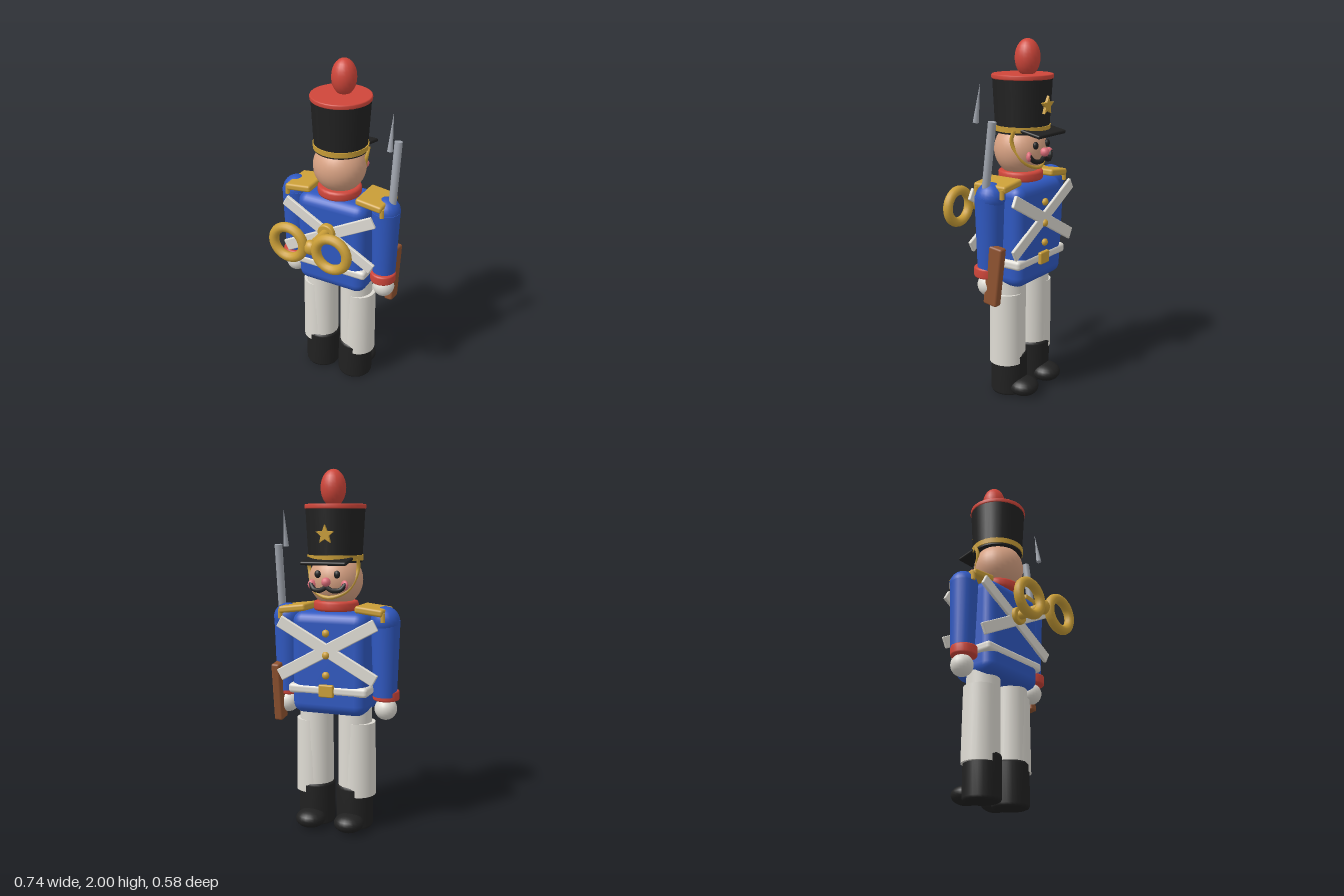
import * as THREE from 'three';
import { RoundedBoxGeometry } from 'three/addons/geometries/RoundedBoxGeometry.js';

const mat = (name, color, side = THREE.FrontSide) => {
  const m = new THREE.MeshStandardMaterial({ color, side });
  m.name = name;
  return m;
};

export function createModel() {
  const g = new THREE.Group();
  g.name = 'toySoldier';
  const blue = mat('coatBlue', 0x2f58c0), red = mat('trimRed', 0xcf463a), gold = mat('brassGold', 0xcb9f38),
    white = mat('clothWhite', 0xdedbd3), black = mat('leatherBlack', 0x212121), skin = mat('skin', 0xd8a283),
    steel = mat('steelGrey', 0x9fa4ad), brown = mat('woodBrown', 0x8e5230), pink = mat('blushPink', 0xe0707c);
  const Z = -0.09; // body axis; the figure faces -z

  const add = (name, geo, m, x, y, z, rx = 0, ry = 0, rz = 0) => {
    const mesh = new THREE.Mesh(geo, m);
    mesh.name = name;
    mesh.position.set(x, y, z);
    mesh.rotation.set(rx, ry, rz);
    g.add(mesh);
    return mesh;
  };
  const box = (w, h, d, r = 0.01) => new RoundedBoxGeometry(w, h, d, 3, r);
  const cyl = (top, bottom, h, n = 20) => new THREE.CylinderGeometry(top, bottom, h, n);
  const ball = (x, y, z, n = 20) => new THREE.SphereGeometry(1, n, Math.ceil(n * 0.7)).scale(x, y, z);
  // cylinder with softened rims, base at y = 0
  const drum = (r, h, b = 0.015, n = 24) => new THREE.LatheGeometry(
    [[0, 0], [r - b, 0], [r - b * 0.3, b * 0.3], [r, b], [r, h - b], [r - b * 0.3, h - b * 0.3], [r - b, h], [0, h]]
      .map(([x, y]) => new THREE.Vector2(x, y)), n);
  const tube = (pts, r) => new THREE.TubeGeometry(
    new THREE.CatmullRomCurve3(pts.map(p => new THREE.Vector3(...p))), 24, r, 8);

  // Torso, belt, collar
  add('torso', box(0.43, 0.57, 0.28, 0.06), blue, 0, 0.955, Z);
  add('belt', box(0.46, 0.055, 0.29, 0.02), white, 0, 0.812, Z);
  add('buckle', box(0.085, 0.07, 0.025, 0.008), gold, 0, 0.812, -0.24);
  add('collar', drum(0.125, 0.055, 0.015), red, 0, 1.24, -0.08);

  // Crossed straps on chest and back
  for (const z of [-0.235, 0.055]) for (const s of [-1, 1])
    add('crossStrap', box(0.63, 0.068, 0.02, 0.006), white, 0, 1.035, z, 0, 0, s * 0.5);
  for (const y of [1.13, 1.01, 0.9]) add('button', ball(0.021, 0.021, 0.016, 12), gold, 0, y, -0.246);

  for (const s of [-1, 1]) {
    // Arms
    add('shoulder', ball(0.08, 0.08, 0.08), blue, s * 0.287, 1.192, Z);
    add('sleeve', cyl(0.08, 0.066, 0.42), blue, s * 0.288, 0.985, Z + 0.006);
    add('cuff', drum(0.074, 0.058, 0.01), red, s * 0.29, 0.75, -0.07);
    add('hand', ball(0.063, 0.063, 0.063), white, s * 0.292, 0.703, -0.08);
    add('epaulette', box(0.16, 0.04, 0.21, 0.014), gold, s * 0.222, 1.25, Z, 0, 0, -s * 0.12);
    for (let i = 0; i < 5; i++)
      add('epauletteFringe', cyl(0.013, 0.013, 0.05, 8), gold, s * 0.298, 1.217, Z + (i - 2) * 0.042);

    // Legs and boots
    add('leg', cyl(0.095, 0.095, 0.55, 24), white, s * 0.115, 0.475, -0.085);
    add('outerLeg', cyl(0.096, 0.1, 0.42, 24), white, s * 0.135, 0.41, -0.085);
    add('boot', drum(0.104, 0.25, 0.018), black, s * 0.114, 0.005, -0.085);
    add('bootToe', ball(0.085, 0.053, 0.085), black, s * 0.115, 0.055, -0.19);

    // Face sides
    add('eye', ball(0.018, 0.021, 0.014, 12), black, s * 0.055, 1.445, -0.217);
    add('cheek', ball(0.027, 0.027, 0.016, 14), pink, s * 0.092, 1.388, -0.2, 0, s * 0.6, 0);
    add('moustache', tube([[0, 1.378, -0.235], [s * 0.035, 1.36, -0.236], [s * 0.075, 1.364, -0.222],
      [s * 0.1, 1.392, -0.208]], 0.013), black, 0, 0, 0);
    add('moustacheTip', ball(0.013, 0.013, 0.013, 10), black, s * 0.1, 1.392, -0.208);
  }

  // Head
  add('head', ball(0.15, 0.15, 0.145, 28), skin, 0, 1.41, -0.08);
  add('nose', ball(0.025, 0.025, 0.025, 14), pink, 0, 1.405, -0.238);
  add('chinStrap', tube([[-0.145, 1.53, -0.14], [-0.142, 1.47, -0.12], [-0.1, 1.36, -0.165], [0, 1.318, -0.2],
    [0.1, 1.36, -0.165], [0.142, 1.47, -0.12], [0.145, 1.53, -0.14]], 0.011), gold, 0, 0, 0);

  // Hat
  add('hat', cyl(0.163, 0.147, 0.29, 28), black, 0, 1.65, Z);
  add('hatBand', cyl(0.155, 0.153, 0.03, 28), gold, 0, 1.53, Z);
  add('hatTop', drum(0.168, 0.026, 0.006, 28), red, 0, 1.79, Z);
  add('pompon', ball(0.069, 0.1, 0.069), red, 0, 1.9, -0.122);
  add('visor', box(0.26, 0.02, 0.14, 0.009), black, 0, 1.517, -0.222, -0.2);
  const star = new THREE.Shape();
  for (let i = 0; i < 10; i++) {
    const r = i % 2 ? 0.023 : 0.052, a = Math.PI / 2 + i * Math.PI / 5;
    star[i ? 'lineTo' : 'moveTo'](r * Math.cos(a), r * Math.sin(a));
  }
  add('hatStar', new THREE.ExtrudeGeometry(star, { depth: 0.018, bevelEnabled: false }), gold, 0, 1.655, -0.259, -0.06);

  // Wind-up key
  const q = Math.PI / 2, ky = 1.055;
  add('keyPlate', drum(0.052, 0.04, 0.008), gold, 0, ky, 0.05, q);
  add('keyShaft', cyl(0.027, 0.027, 0.2), gold, 0, ky, 0.15, q);
  add('keyHub', ball(0.043, 0.043, 0.035), gold, 0, ky, 0.25);
  for (const s of [-1, 1])
    add('keyRing', new THREE.TorusGeometry(0.093, 0.028, 12, 28), gold, s * 0.133, ky, 0.261);

  // Rifle held along the left-hand edge, leaning forward
  add('rifleStock', box(0.05, 0.335, 0.088, 0.012), brown, 0.322, 0.772, -0.141, -0.12);
  add('rifleBarrel', cyl(0.022, 0.022, 0.66, 12), steel, 0.322, 1.27, -0.09, -0.125);
  add('bayonet', new THREE.ConeGeometry(0.016, 0.21, 8), steel, 0.322, 1.688, -0.04, -0.15);

  return g;
}
